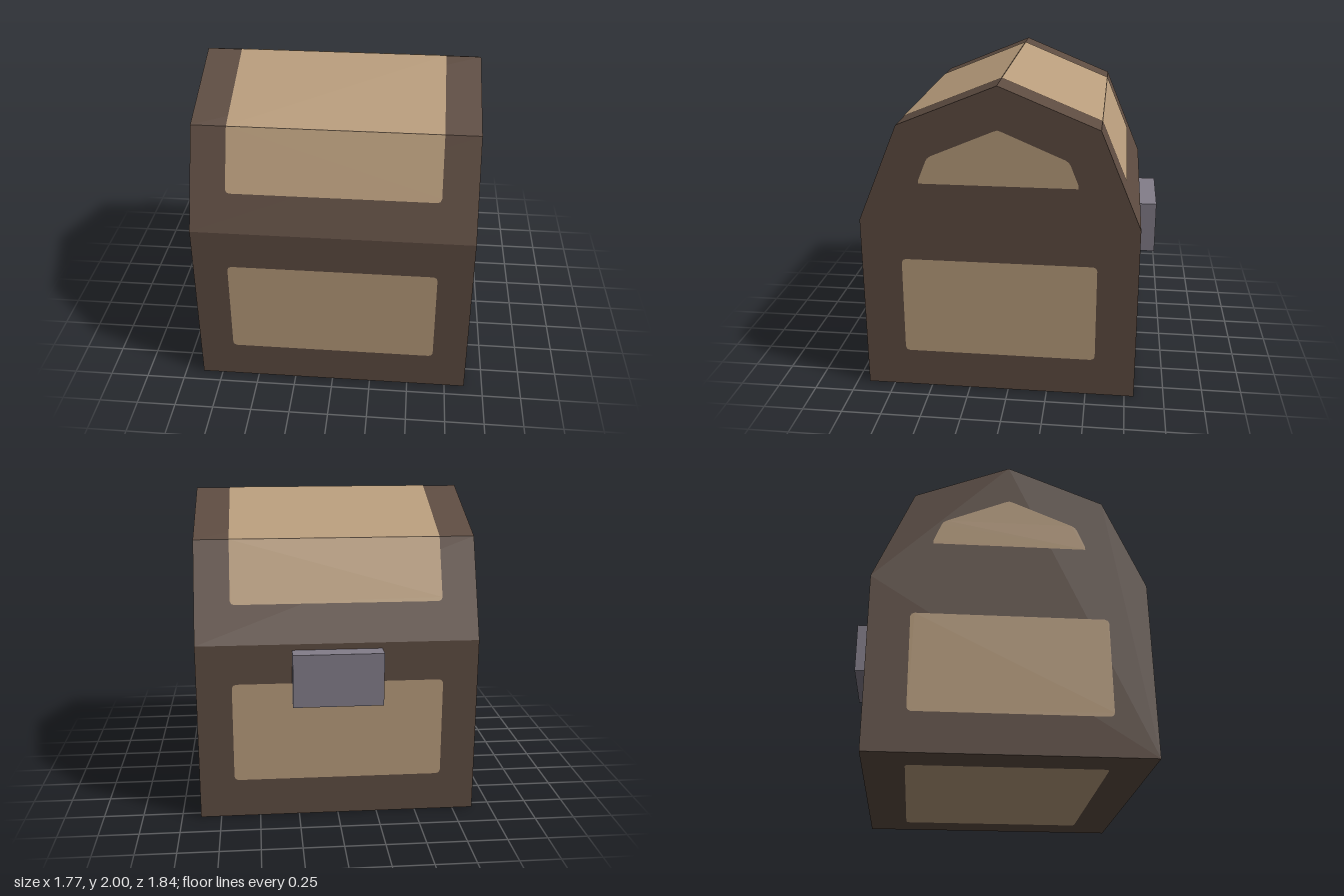
import * as THREE from 'three';

const HALF_WIDTH = 0.88, HALF_DEPTH = 0.865, PANEL_X = 0.66, PANEL_Z = 0.61;
const EAVE_Y = 1.14, SHOULDER_Z = 0.61, SHOULDER_Y = 1.75, RIDGE_Y = 2;

// Outline of a flat shape from corner points
const outline = (points) => new THREE.Shape(points.map(([x, y]) => new THREE.Vector2(x, y)));

// Rectangle with cut corners; the top corners may stay square
function panelShape(w, y0, y1, topCut = 0.025) {
  const c = 0.025, t = topCut;
  const right = [[w - c, y0], [w - c * 0.3, y0 + c * 0.3], [w, y0 + c]];
  if (t) right.push([w, y1 - t], [w - t * 0.3, y1 - t * 0.3], [w - t, y1]);
  else right.push([w, y1]);
  return outline([...right, ...right.map(([x, y]) => [-x, y]).reverse()]);
}

export function createModel() {
  const wood = new THREE.MeshStandardMaterial({ color: 0x5e4c41 });
  wood.name = 'dark wood';
  const tan = new THREE.MeshStandardMaterial({ color: 0xb99d7c });
  tan.name = 'tan panel';
  const metal = new THREE.MeshStandardMaterial({ color: 0x837e8a });
  metal.name = 'grey metal';

  const model = new THREE.Group();
  model.name = 'chest';
  const chest = new THREE.Group();
  chest.name = 'chestBody';
  chest.position.z = 0.055;
  model.add(chest);

  // Shell: gabled cross-section swept along x
  const profile = outline([
    [-HALF_DEPTH, 0], [HALF_DEPTH, 0], [HALF_DEPTH, EAVE_Y], [SHOULDER_Z, SHOULDER_Y],
    [0, RIDGE_Y], [-SHOULDER_Z, SHOULDER_Y], [-HALF_DEPTH, EAVE_Y],
  ]);
  const shellGeo = new THREE.ExtrudeGeometry(profile, { depth: HALF_WIDTH * 2, bevelEnabled: false });
  shellGeo.translate(0, 0, -HALF_WIDTH).rotateY(Math.PI / 2);
  const shell = new THREE.Mesh(shellGeo, wood);
  shell.name = 'shell';
  chest.add(shell);

  // Painted panel: tilted back, moved out to its face, then turned around y
  function addPanel(name, shape, y, out, tilt, turn) {
    const geo = new THREE.ShapeGeometry(shape);
    geo.translate(0, 0, 0.003).rotateX(tilt).translate(0, y, out).rotateY(turn);
    const panel = new THREE.Mesh(geo, tan);
    panel.name = name;
    chest.add(panel);
  }

  const lowRun = HALF_DEPTH - SHOULDER_Z, lowRise = SHOULDER_Y - EAVE_Y;
  const highRise = RIDGE_Y - SHOULDER_Y;
  const lowLength = Math.hypot(lowRun, lowRise), highLength = Math.hypot(SHOULDER_Z, highRise);

  // Front and back: wall panel plus the two roof slopes
  for (const [side, turn] of [['front', 0], ['back', Math.PI]]) {
    addPanel(side + 'WallPanel', panelShape(PANEL_X, 0.25, 0.89), 0, HALF_DEPTH, 0, turn);
    addPanel(side + 'LowerRoofPanel', panelShape(PANEL_X, 0.25, lowLength, 0),
      EAVE_Y, HALF_DEPTH, -Math.atan2(lowRun, lowRise), turn);
    const upper = outline([[-PANEL_X, 0], [PANEL_X, 0], [PANEL_X, highLength], [-PANEL_X, highLength]]);
    addPanel(side + 'UpperRoofPanel', upper, SHOULDER_Y, SHOULDER_Z,
      -Math.atan2(SHOULDER_Z, highRise), turn);
  }

  // Ends: wall panel plus the gable panel
  const gableHalf = [[0.485, 1.39], [0.485, 1.41], [0.435, 1.535], [0.425, 1.55], [0.405, 1.565], [0.025, 1.727]];
  const gable = outline([...gableHalf, [0, 1.735], ...gableHalf.map(([x, y]) => [-x, y]).reverse()]);
  for (const [side, turn] of [['left', Math.PI / 2], ['right', -Math.PI / 2]]) {
    addPanel(side + 'WallPanel', panelShape(PANEL_Z, 0.25, 0.89), 0, HALF_WIDTH, 0, turn);
    addPanel(side + 'GablePanel', gable, 0, HALF_WIDTH, 0, turn);
  }

  // Underside
  addPanel('bottomPanel', panelShape(PANEL_X, -PANEL_Z, PANEL_Z), 0.001, 0, Math.PI / 2, 0);

  // Latch block on the back wall
  const latch = new THREE.Mesh(new THREE.BoxGeometry(0.56, 0.335, 0.13), metal);
  latch.name = 'latch';
  latch.position.set(0.007, 0.935, -0.855);
  model.add(latch);

  return model;
}
